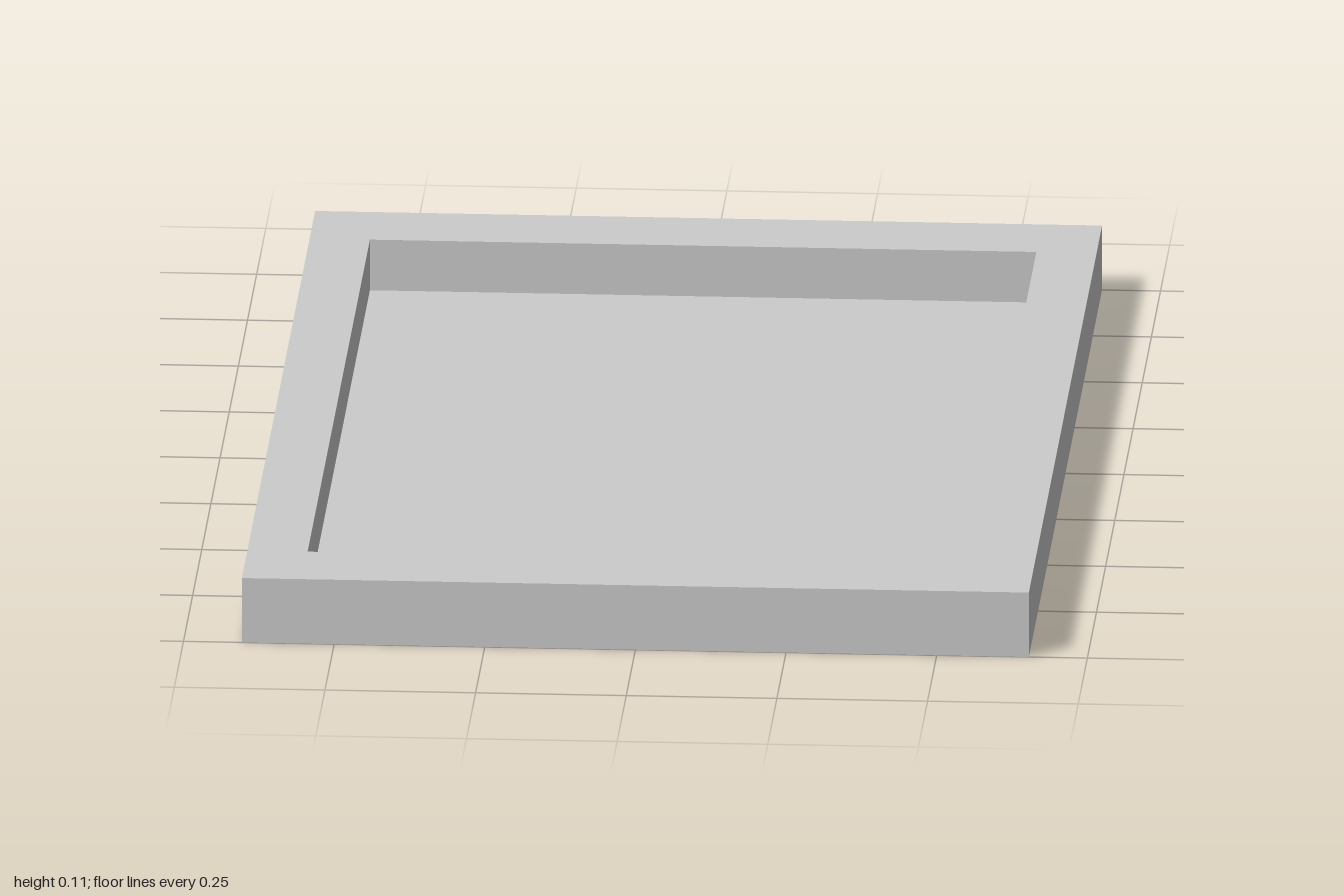
import * as THREE from 'three';

const W = 0.653, L = 1, H = 0.112;           // outer half width, half length, height
const IW = 0.553, IL = 0.85, FLOOR = 0.024;  // recess half width, half length, floor height

// Walls joining successive rectangular rings, each [halfWidth, halfLength, y]
function ringWalls(rings) {
  const corners = [[1, 1], [1, -1], [-1, -1], [-1, 1]];
  const at = ([w, l, y], i) => {
    const [sx, sz] = corners[i % 4];
    return [sx * w, y, sz * l];
  };
  const pos = [];
  for (let r = 0; r < rings.length - 1; r++) {
    for (let i = 0; i < 4; i++) {
      const a = at(rings[r], i), b = at(rings[r], i + 1);
      const c = at(rings[r + 1], i + 1), d = at(rings[r + 1], i);
      pos.push(...a, ...b, ...c, ...a, ...c, ...d);
    }
  }
  const geo = new THREE.BufferGeometry();
  geo.setAttribute('position', new THREE.Float32BufferAttribute(pos, 3));
  geo.computeVertexNormals();
  return geo;
}

export function createModel() {
  const group = new THREE.Group();
  group.name = 'tray';
  const material = new THREE.MeshStandardMaterial({ color: 0xcccccc, flatShading: true });
  const add = (name, geometry) => {
    const mesh = new THREE.Mesh(geometry, material);
    mesh.name = name;
    group.add(mesh);
  };

  // Rim: outer sides, flat top border, and recess walls
  add('rim', ringWalls([[W, L, 0], [W, L, H], [IW, IL, H], [IW, IL, FLOOR]]));

  // Recessed floor
  add('floor', new THREE.PlaneGeometry(2 * IW, 2 * IL).rotateX(-Math.PI / 2).translate(0, FLOOR, 0));

  // Underside
  add('underside', new THREE.PlaneGeometry(2 * W, 2 * L).rotateX(Math.PI / 2));

  return group;
}
